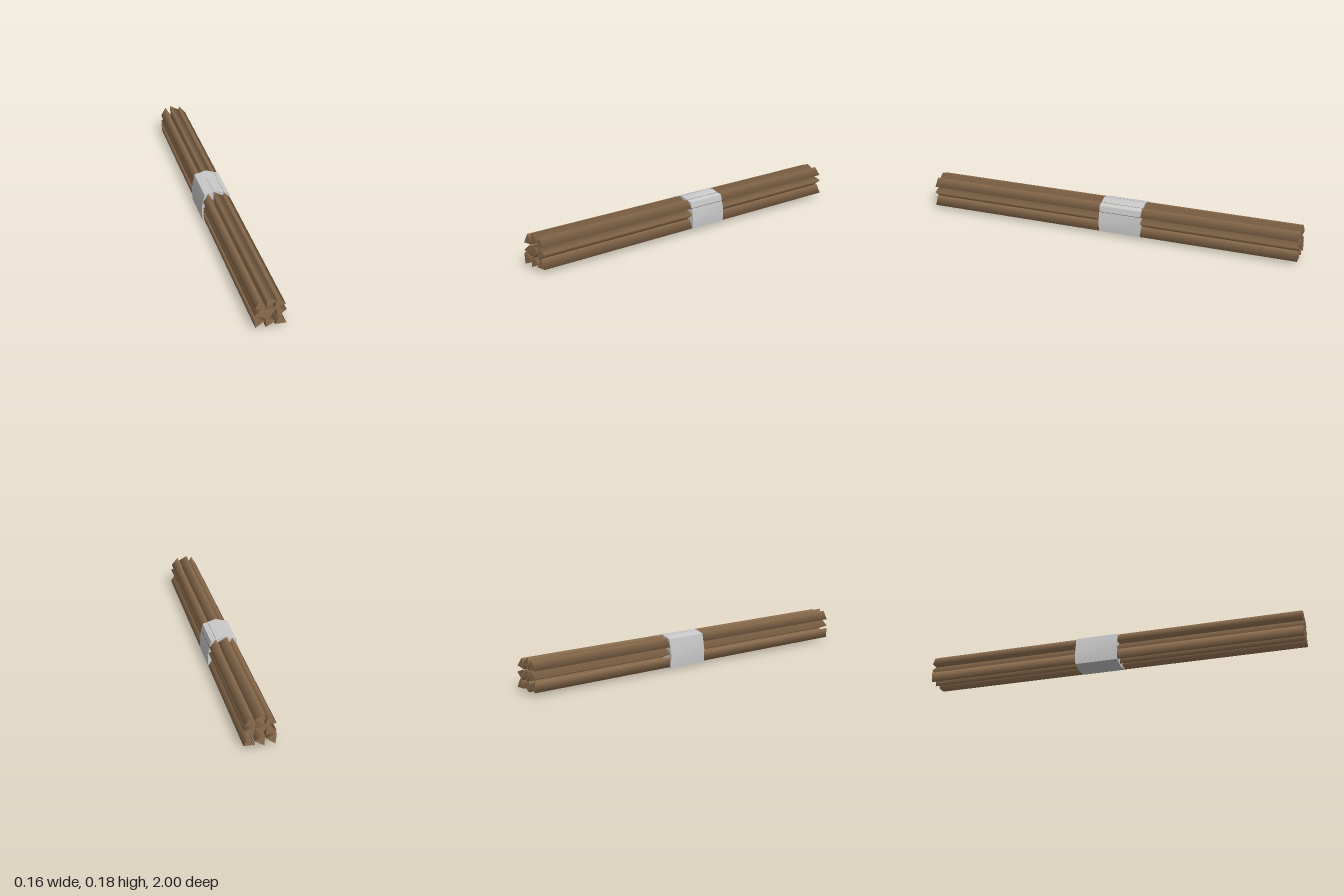
import * as THREE from 'three';
import { toCreasedNormals } from 'three/addons/utils/BufferGeometryUtils.js';

const wood = new THREE.MeshStandardMaterial({ name: 'brown wood', color: 0x8c6d4e });
const wrap = new THREE.MeshStandardMaterial({ name: 'pale grey wrap', color: 0xcacaca });

// Three-sided sticks: centre x, centre y, direction of one corner in degrees
const STICKS = [
  [-0.046, 0.135, 90], [-0.002, 0.147, 0], [0.043, 0.134, 100],
  [-0.043, 0.0875, 69], [-0.002, 0.091, 266], [0.046, 0.088, 9.5],
  [-0.056, 0.0435, 5.5], [-0.004, 0.038, 0], [0.051, 0.035, 89],
];

// Outline of the band around the bundle, counter-clockwise
const BAND = [
  [-0.004, 0], [0.078, 0.018], [0.081, 0.08], [0.064, 0.155],
  [-0.004, 0.177], [-0.066, 0.161], [-0.081, 0.079], [-0.077, 0.012],
];

export function createModel() {
  const model = new THREE.Group();
  model.name = 'stickBundle';

  // Sticks run along z, with smooth sides
  const stickGeometry = new THREE.CylinderGeometry(0.031, 0.031, 2, 3);
  stickGeometry.rotateX(Math.PI / 2);
  STICKS.forEach(([x, y, angle], i) => {
    const stick = new THREE.Mesh(stickGeometry, wood);
    stick.name = `stick${i + 1}`;
    stick.position.set(x, y, 0);
    stick.rotation.z = THREE.MathUtils.degToRad(angle + 90);
    model.add(stick);
  });

  // Closed band just behind the middle
  const outline = new THREE.Shape(BAND.map(([x, y]) => new THREE.Vector2(x, y)));
  const bandGeometry = new THREE.ExtrudeGeometry(outline, { depth: 0.225, bevelEnabled: false });
  const band = new THREE.Mesh(toCreasedNormals(bandGeometry, 0.7), wrap);
  band.name = 'band';
  band.position.z = -0.183;
  model.add(band);

  return model;
}
